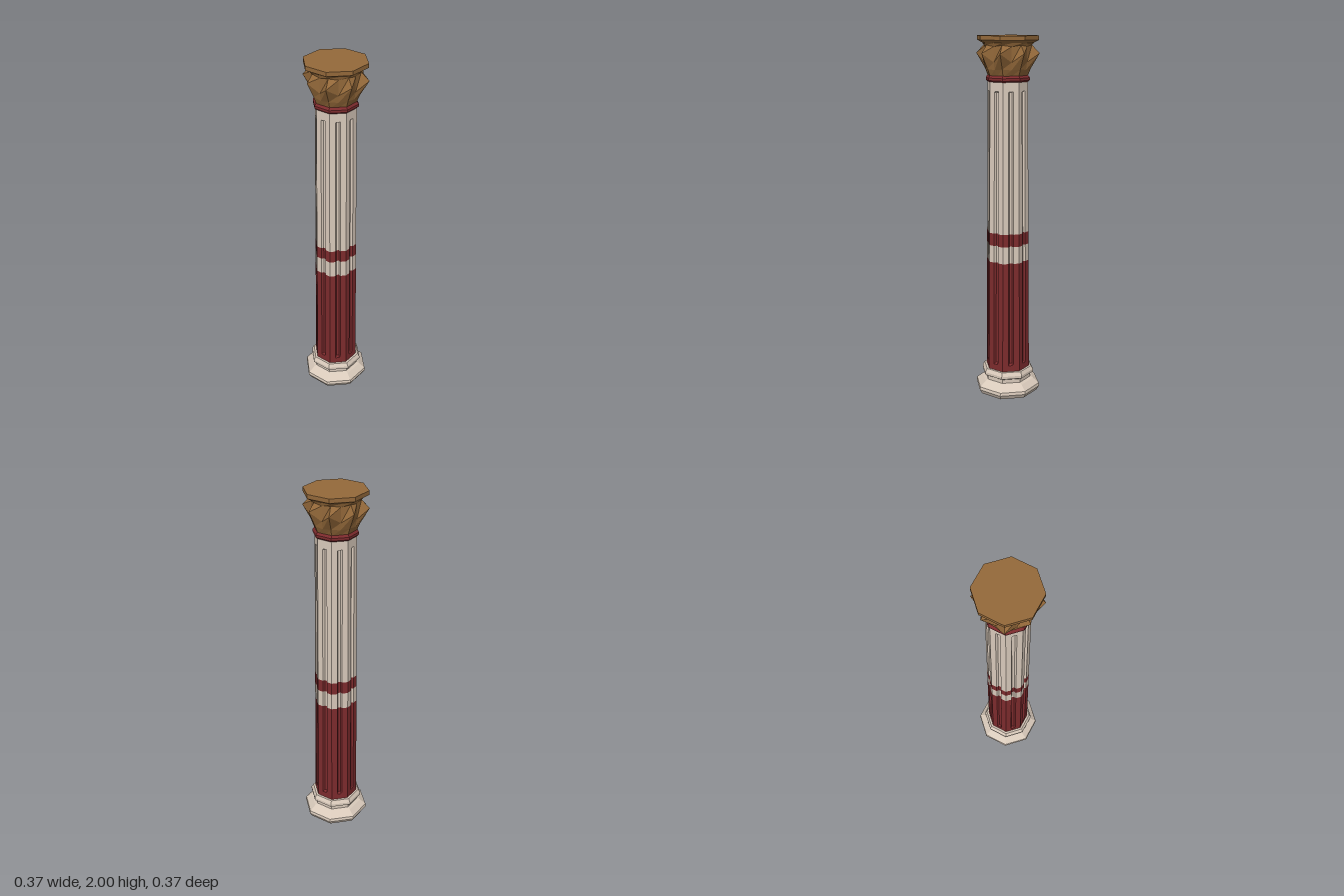
import * as THREE from 'three';

const SIDES = 8;
const CREAM = 0xd9cabb, RED = 0x7d2b2d, BRONZE = 0x94693a;

function addPart(parent, name, geometry, color) {
  const mesh = new THREE.Mesh(geometry, new THREE.MeshStandardMaterial({ color, flatShading: true }));
  mesh.name = name;
  parent.add(mesh);
  return mesh;
}

// Joins equal-length closed rings of points (listed bottom to top), with optional caps.
function loft(rings, capBottom = false, capTop = false) {
  const n = rings[0].length, points = rings.flat(), index = [];
  for (let i = 0; i < rings.length - 1; i++) {
    for (let j = 0; j < n; j++) {
      const a = i * n + j, b = i * n + (j + 1) % n;
      index.push(a, b, b + n, a, b + n, a + n);
    }
  }
  const top = (rings.length - 1) * n;
  for (let j = 1; j < n - 1; j++) {
    if (capBottom) index.push(0, j + 1, j);
    if (capTop) index.push(top, top + j, top + j + 1);
  }
  const geometry = new THREE.BufferGeometry().setFromPoints(points);
  geometry.setIndex(index);
  const flat = geometry.toNonIndexed();
  flat.computeVertexNormals();
  return flat;
}

const polar = (r, angle, y) => new THREE.Vector3(r * Math.sin(angle), y, r * Math.cos(angle));
const lathe = (profile) =>
  new THREE.LatheGeometry(profile.map(([r, y]) => new THREE.Vector2(r, y)), SIDES);

// Octagonal shaft section, with one groove in the middle of every face.
const shaftRadius = (y) => THREE.MathUtils.mapLinear(y, 0.145, 1.765, 0.125, 0.11);
function shaftRing(y, depth) {
  const ring = [], r = shaftRadius(y), step = Math.PI * 2 / SIDES;
  for (let k = 0; k < SIDES; k++) {
    const a = polar(r, k * step, y), b = polar(r, (k + 1) * step, y);
    const inward = polar(-depth, (k + 0.5) * step, 0);
    ring.push(a, a.clone().lerp(b, 0.35));
    ring.push(a.clone().lerp(b, 0.42).add(inward), a.clone().lerp(b, 0.58).add(inward));
    ring.push(a.clone().lerp(b, 0.65));
  }
  return ring;
}

// Capital ring: corners and face middles have their own radius and height.
function capitalRing([cornerR, cornerY, middleR, middleY, diagonalR = cornerR]) {
  const ring = [];
  for (let k = 0; k < SIDES * 2; k++) {
    const angle = k * Math.PI / SIDES;
    if (k % 2) ring.push(polar(middleR, angle, middleY));
    else ring.push(polar(k % 4 ? diagonalR : cornerR, angle, cornerY));
  }
  return ring;
}

export function createModel() {
  const column = new THREE.Group();
  column.name = 'column';

  // Moulded base
  addPart(column, 'base', lathe([
    [0, 0], [0.172, 0], [0.187, 0.025], [0.184, 0.042], [0.15, 0.07], [0.132, 0.078],
    [0.132, 0.1], [0.15, 0.11], [0.15, 0.125], [0.138, 0.145], [0, 0.145],
  ]), CREAM);

  // Fluted shaft in coloured bands; grooves start and stop short of the ends
  const depth = 0.012;
  const bands = [
    ['lowerShaft', RED, [[0.14, 0], [0.18, 0], [0.19, depth], [0.78, depth]]],
    ['paleBand', CREAM, [[0.78, depth], [0.875, depth]]],
    ['redBand', RED, [[0.875, depth], [0.945, depth]]],
    ['upperShaft', CREAM, [[0.945, depth], [1.71, depth], [1.715, 0], [1.765, 0]]],
  ];
  for (const [name, color, levels] of bands) {
    addPart(column, name, loft(levels.map(([y, d]) => shaftRing(y, d))), color);
  }

  // Collar under the capital
  addPart(column, 'collar', lathe([
    [0, 1.762], [0.112, 1.762], [0.12, 1.77], [0.12, 1.783], [0.11, 1.796], [0, 1.796],
  ]), RED);

  // Capital with pointed leaves below a flared octagonal slab
  addPart(column, 'capital', loft([
    [0.108, 1.79, 0.1, 1.79],
    [0.124, 1.83, 0.117, 1.825],
    [0.16, 1.91, 0.124, 1.865, 0.172],
    [0.13, 1.952, 0.124, 1.945],
    [0.14, 1.963, 0.13, 1.963],
    [0.168, 1.978, 0.155, 1.978],
    [0.168, 2, 0.155, 2],
  ].map(capitalRing), true, true), BRONZE);

  return column;
}
